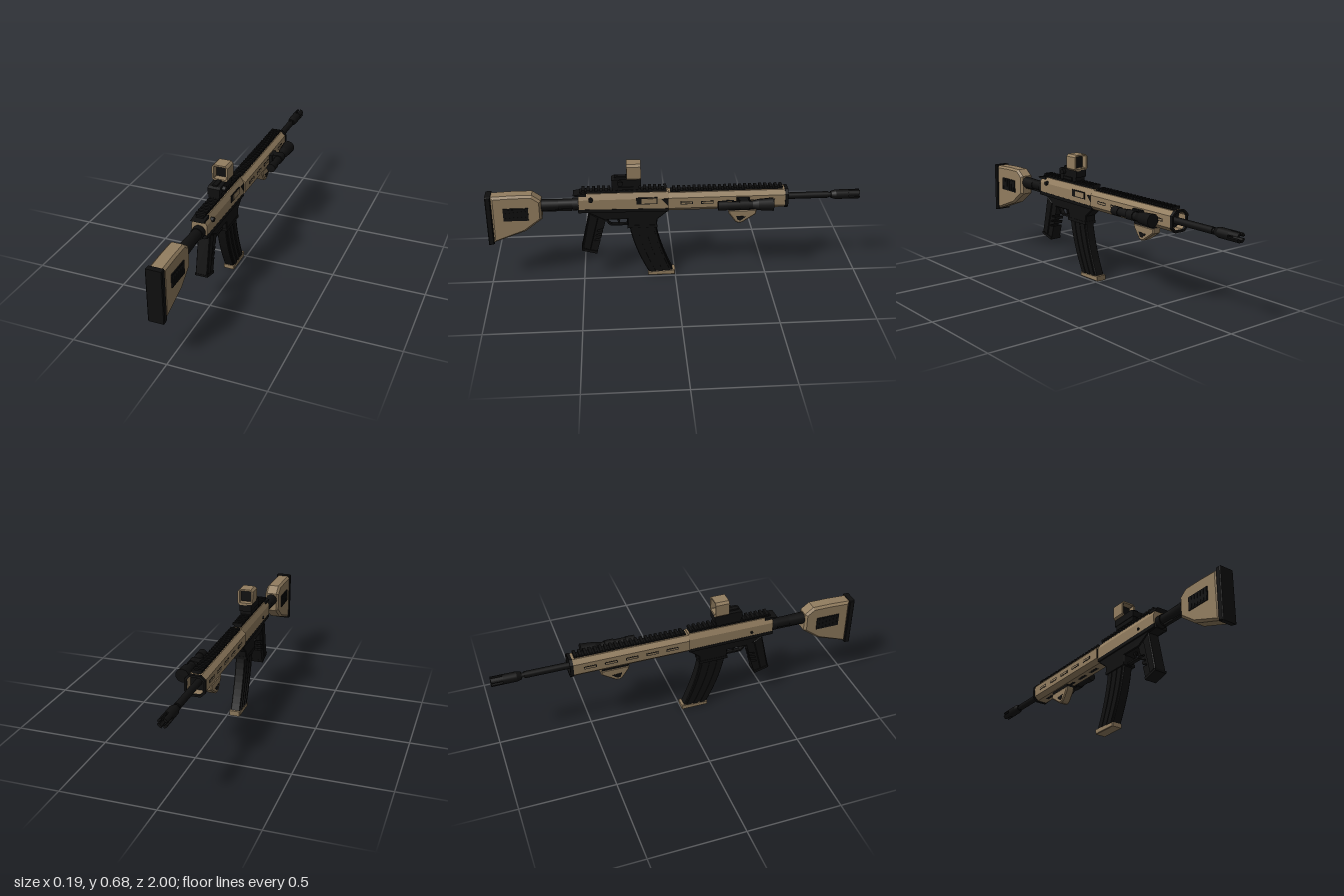
import * as THREE from 'three';
import { mergeGeometries } from 'three/addons/utils/BufferGeometryUtils.js';

export function createModel() {
  const mat = (name, color) => {
    const m = new THREE.MeshStandardMaterial({ color });
    m.name = name;
    return m;
  };
  const tan = mat('tan', 0x927d5f), black = mat('black', 0x0f0f0f);

  const model = new THREE.Group();
  const body = new THREE.Group(); // everything symmetric sits on this centre plane
  body.name = 'body';
  body.position.x = -0.042;
  model.add(body);

  const add = (name, geo, m) => {
    const mesh = new THREE.Mesh(geo, m);
    mesh.name = name;
    body.add(mesh);
    return mesh;
  };
  const shapeOf = pts => new THREE.Shape(pts.map(p => new THREE.Vector2(...p)));
  // side profile of [z, y] points, given a width across x
  const side = (pts, width, bevel = 0, hole = null, x = 0) => {
    const flip = a => a.map(([z, y]) => [-z, y]);
    const s = shapeOf(flip(pts));
    if (hole) s.holes.push(shapeOf(flip(hole)));
    const depth = width - 2 * bevel;
    return new THREE.ExtrudeGeometry(s, {
      depth, bevelEnabled: bevel > 0, bevelSize: bevel, bevelThickness: bevel,
      bevelOffset: -bevel, bevelSegments: 1, curveSegments: 6,
    }).translate(0, 0, -depth / 2).rotateY(Math.PI / 2).translate(x, 0, 0);
  };
  // cross-section of [x, y] points run from z0 to z1
  const along = (pts, z0, z1, hole = null) => {
    const s = shapeOf(pts);
    if (hole) s.holes.push(shapeOf(hole));
    return new THREE.ExtrudeGeometry(s, { depth: z1 - z0, bevelEnabled: false }).translate(0, 0, z0);
  };
  const box = (x0, x1, y0, y1, z0, z1) =>
    new THREE.BoxGeometry(x1 - x0, y1 - y0, z1 - z0)
      .translate((x0 + x1) / 2, (y0 + y1) / 2, (z0 + z1) / 2);
  const mid = (hw, y0, y1, z0, z1) => box(-hw, hw, y0, y1, z0, z1);
  const cylZ = (rBack, rFront, zBack, zFront, x = 0, y = 0.45, n = 16) =>
    new THREE.CylinderGeometry(rBack, rFront, zBack - zFront, n)
      .rotateX(Math.PI / 2).translate(x, y, (zBack + zFront) / 2);
  const cylX = (r, x0, x1, y, z, n = 12) =>
    new THREE.CylinderGeometry(r, r, x1 - x0, n).rotateZ(Math.PI / 2).translate((x0 + x1) / 2, y, z);
  const octagon = (hw, hh, c, cy) => [
    [-hw + c, cy - hh], [hw - c, cy - hh], [hw, cy - hh + c], [hw, cy + hh - c],
    [hw - c, cy + hh], [-hw + c, cy + hh], [-hw, cy + hh - c], [-hw, cy - hh + c]];

  // stock, with recessed-looking side panels and butt pad
  add('stock', side([[0.972, 0.508], [0.86, 0.513], [0.755, 0.513], [0.708, 0.478], [0.708, 0.372],
    [0.80, 0.302], [0.972, 0.24]], 0.08, 0.012), tan);
  add('buttPad', side([[1, 0.512], [0.97, 0.512], [0.97, 0.234], [1, 0.228]], 0.085, 0.004), black);
  for (const s of [-1, 1]) {
    add('stockPanel', box(s * 0.042 - 0.003, s * 0.042 + 0.003, 0.372, 0.444, 0.778, 0.91), black);
    for (let i = 0; i < 6; i++) {
      const z = 0.792 + i * 0.021;
      add('stockPanelRib', box(s * 0.044 - 0.003, s * 0.044 + 0.003, 0.378, 0.438, z, z + 0.01), black);
    }
  }

  // stock tube with collars
  add('stockTube', cylZ(0.028, 0.028, 0.72, 0.5, 0, 0.442), black);
  add('tubeCollar', cylZ(0.034, 0.034, 0.545, 0.512, 0, 0.44), black);
  add('tubeSleeve', cylZ(0.033, 0.030, 0.709, 0.62, 0, 0.44), black);
  add('tubeKeel', mid(0.01, 0.405, 0.43, 0.55, 0.71), black);

  // upper receiver
  add('upperReceiver', along([[-0.041, 0.412], [0.041, 0.412], [0.041, 0.478], [0.025, 0.508],
    [-0.025, 0.508], [-0.041, 0.478]], 0.035, 0.513), tan);
  add('chargingHandle', side([[0.54, 0.505], [0.47, 0.515], [0.47, 0.497], [0.525, 0.497]], 0.07), black);
  add('ejectionPort', box(0.036, 0.043, 0.446, 0.484, 0.095, 0.207), black);
  add('portCover', box(0.038, 0.045, 0.451, 0.479, 0.10, 0.18), tan);
  add('brassDeflector', side([[0.075, 0.475], [0.035, 0.475], [0.035, 0.43]], 0.012, 0, null, 0.038), black);
  add('forwardButton', cylX(0.012, 0.035, 0.052, 0.48, 0.447), black);
  add('leftButton', cylX(0.008, -0.046, -0.035, 0.445, 0.39), black);

  // lower receiver and magazine well
  add('lowerReceiver', side([[0.515, 0.425], [0.517, 0.403], [0.46, 0.398], [0.38, 0.355], [0.255, 0.355],
    [0.255, 0.31], [0.245, 0.302], [0.10, 0.302], [0.095, 0.35], [0.04, 0.395], [0.036, 0.425]], 0.068, 0.004), black);
  add('lowerRim', side([[0.515, 0.425], [0.515, 0.405], [0.037, 0.40], [0.037, 0.418]], 0.084), black);
  add('wellLip', mid(0.036, 0.302, 0.318, 0.097, 0.257), black);

  // trigger and guard
  add('triggerGuard', side([[0.385, 0.36], [0.36, 0.32], [0.345, 0.308], [0.25, 0.308], [0.25, 0.36]], 0.022, 0,
    [[0.372, 0.357], [0.353, 0.327], [0.34, 0.317], [0.258, 0.317], [0.258, 0.357]]), black);
  add('trigger', side([[0.325, 0.36], [0.31, 0.34], [0.305, 0.32], [0.297, 0.322], [0.298, 0.342], [0.303, 0.36]],
    0.012), black);

  // grip with slanted grooves on its front edge
  const gripPts = [[0.457, 0.405], [0.507, 0.18], [0.5, 0.172], [0.426, 0.152]];
  for (const t of [0.4, 0.54, 0.68]) {
    const z = 0.426 - 0.056 * t, y = 0.152 + 0.203 * t;
    gripPts.push([z, y], [z + 0.033, y - 0.006], [z + 0.03, y + 0.004], [z - 0.003, y + 0.012]);
  }
  gripPts.push([0.37, 0.36]);
  add('grip', side(gripPts, 0.058), black);
  add('gripCore', side([[0.457, 0.40], [0.503, 0.185], [0.46, 0.17], [0.41, 0.37]], 0.066, 0.005), black);
  add('gripFoot', side([[0.508, 0.185], [0.507, 0.172], [0.426, 0.15], [0.422, 0.165]], 0.068), black);

  // curved magazine, drawn between a rear and a front arc
  const arc = (a, b, c) => new THREE.QuadraticBezierCurve(
    new THREE.Vector2(...a), new THREE.Vector2(...b), new THREE.Vector2(...c)).getPoints(8).map(p => [p.x, p.y]);
  const rear = arc([0.246, 0.31], [0.228, 0.18], [0.146, 0.022]);
  const front = arc([0.103, 0.31], [0.085, 0.18], [0.012, 0.022]);
  add('magazine', side([...rear, ...[...front].reverse()], 0.053, 0.004), black);
  const lerp = t => rear.map((p, i) => [p[0] + (front[i][0] - p[0]) * t, p[1] + (front[i][1] - p[1]) * t]);
  for (const [t0, t1] of [[0.1, 0.3], [0.4, 0.6], [0.7, 0.9]])
    add('magazineRib', side([...lerp(t0), ...lerp(t1).reverse()], 0.059), black);
  add('magazineBase', side([[0.15, 0], [0.15, 0.022], [0.0, 0.029], [0.002, 0.0]], 0.061, 0.003), tan);

  // hollow eight-sided handguard with front collar and side slots
  const inner = octagon(0.043, 0.044, 0.018, 0.451);
  add('handguard', along(octagon(0.05, 0.052, 0.022, 0.451), -0.592, 0.036, inner), tan);
  add('handguardCollar', along(octagon(0.053, 0.055, 0.023, 0.451), -0.605, -0.588, inner), black);
  add('handguardLiner', along(octagon(0.042, 0.043, 0.017, 0.451), -0.55, 0.03), black);
  for (const s of [-1, 1])
    for (let i = 0; i < 5; i++) {
      const z = -0.06 - i * 0.11;
      add('handguardSlot', box(s * 0.05 - 0.001, s * 0.05 + 0.001, 0.443, 0.459, z - 0.033, z + 0.033), black);
      add('slotFill', box(s * 0.05 - 0.002, s * 0.05 + 0.002, 0.447, 0.455, z - 0.029, z + 0.029), tan);
    }
  for (let i = 0; i < 5; i++)
    add('bottomSlot', mid(0.008, 0.398, 0.4, -0.093 - i * 0.11, -0.027 - i * 0.11), black);

  // toothed top rails
  const rail = (name, z0, z1, y0, top) => {
    const parts = [mid(0.02, y0, top - 0.011, z0, z1)];
    const n = Math.round((z1 - z0) / 0.027), step = (z1 - z0) / n;
    for (let i = 0; i < n; i++)
      parts.push(mid(0.026, top - 0.013, top, z0 + i * step, z0 + i * step + step * 0.55));
    add(name, mergeGeometries(parts), black);
  };
  rail('receiverRail', 0.045, 0.505, 0.5, 0.531);
  rail('handguardRail', -0.575, 0.025, 0.495, 0.52);

  // barrel and slotted muzzle device
  add('barrel', cylZ(0.018, 0.018, -0.5, -0.83), black);
  add('barrelNeck', cylZ(0.013, 0.013, -0.82, -0.87), black);
  add('muzzleBody', cylZ(0.019, 0.026, -0.845, -0.87), black);
  add('muzzleSleeve', cylZ(0.026, 0.026, -0.87, -0.94), black);
  for (let i = 0; i < 4; i++) {
    const a = i * Math.PI / 2 + 0.25, b = (i + 1) * Math.PI / 2 - 0.25;
    const s = new THREE.Shape().absarc(0, 0, 0.026, a, b, false).absarc(0, 0, 0.014, b, a, true);
    add('muzzleProng', new THREE.ExtrudeGeometry(s, { depth: 0.062, bevelEnabled: false, curveSegments: 5 })
      .translate(0, 0.45, -1), black);
  }

  // sight: clamp, base, knob and hooded window
  add('sightClamp', mid(0.03, 0.528, 0.552, 0.19, 0.33), black);
  add('sightBase', side([[0.335, 0.55], [0.335, 0.583], [0.32, 0.59], [0.18, 0.59], [0.18, 0.55]], 0.066), black);
  add('sightKnob', cylX(0.014, 0.03, 0.05, 0.571, 0.29), black);
  add('clampLever', box(0.028, 0.036, 0.53, 0.546, 0.22, 0.3), black);
  add('sightTop', mid(0.012, 0.588, 0.598, 0.26, 0.32), black);
  add('sightHood', along(octagon(0.043, 0.045, 0.012, 0.63), 0.18, 0.255,
    octagon(0.033, 0.034, 0.002, 0.632)), tan);
  add('sightWindow', mid(0.034, 0.597, 0.667, 0.212, 0.22), black);

  // side lamp on its bracket
  const lx = 0.098, ly = 0.452;
  add('lampHead', cylZ(0.03, 0.036, -0.435, -0.515, lx, ly, 10), black);
  add('lampNeck', cylZ(0.022, 0.03, -0.405, -0.435, lx, ly, 10), black);
  add('lampBody', cylZ(0.022, 0.022, -0.26, -0.41, lx, ly, 10), black);
  add('lampTail', cylZ(0.025, 0.025, -0.222, -0.27, lx, ly, 10), black);
  add('lampBracket', box(0.048, 0.066, 0.415, 0.475, -0.395, -0.325), black);
  add('lampClamp', box(0.06, 0.09, 0.43, 0.474, -0.385, -0.335), black);
  add('lampRing', cylZ(0.027, 0.027, -0.335, -0.385, lx, ly, 10), black);

  // hand stop under the handguard
  add('stopPlate', mid(0.022, 0.383, 0.402, -0.435, -0.29), black);
  add('handStop', side([[-0.287, 0.385], [-0.29, 0.365], [-0.328, 0.312], [-0.345, 0.304], [-0.365, 0.308],
    [-0.44, 0.358], [-0.44, 0.385]], 0.05, 0.006), tan);
  for (const s of [-1, 1])
    add('stopInset', side([[-0.33, 0.35], [-0.34, 0.325], [-0.355, 0.322], [-0.385, 0.345]], 0.004, 0, null, s * 0.0245), black);

  return model;
}
